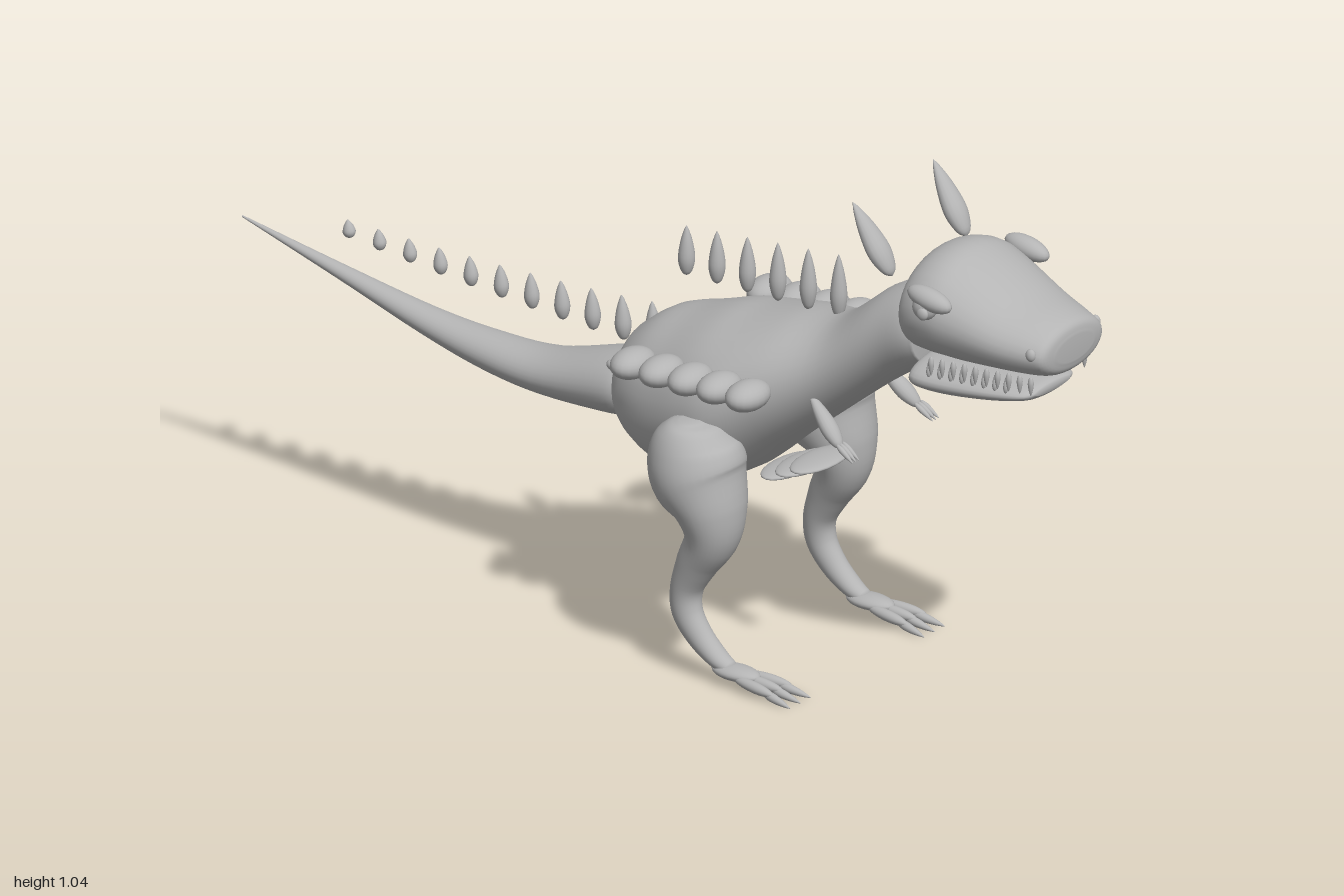
import * as THREE from 'three';

const V = (x, y, z) => new THREE.Vector3(x, y, z);

export function createModel() {
  const root = new THREE.Group();
  root.name = 'hornedReptile';
  const hide = new THREE.MeshStandardMaterial({ color: 0xb4b4b4 });
  hide.name = 'greyHide';

  const add = (name, geometry, parent = root) => {
    const mesh = new THREE.Mesh(geometry, hide);
    mesh.name = name;
    parent.add(mesh);
    return mesh;
  };

  // Smooth closed skin through elliptical sections [x, y, z, radiusX, radiusN].
  // Upright sections stay in the xy plane; the others follow the path.
  const loft = (rows, upright = true, steps = 5, sides = 32) => {
    const path = new THREE.CatmullRomCurve3(rows.map(r => V(r[0], r[1], r[2])), false, 'catmullrom', 0.5);
    const radii = new THREE.CatmullRomCurve3(rows.map(r => V(r[3], r[4], 0)), false, 'catmullrom', 0.5);
    const count = (rows.length - 1) * steps;
    const pos = [], index = [];
    for (let i = 0; i <= count; i++) {
      const c = path.getPoint(i / count), r = radii.getPoint(i / count);
      const t = path.getTangent(i / count);
      if (upright) t.set(0, 0, Math.sign(t.z));
      else t.setX(0).normalize();
      const n = t.clone().cross(V(1, 0, 0));
      for (let j = 0; j < sides; j++) {
        const a = (j / sides) * Math.PI * 2;
        const p = c.clone().addScaledVector(n, Math.sin(a) * r.y);
        pos.push(p.x + Math.cos(a) * r.x, p.y, p.z);
      }
      if (i === count) break;
      for (let j = 0; j < sides; j++) {
        const a = i * sides + j, b = i * sides + (j + 1) % sides;
        index.push(a, b, a + sides, b, b + sides, a + sides);
      }
    }
    // End caps
    const ends = [rows[0], rows[rows.length - 1]];
    ends.forEach((e, k) => {
      const centre = pos.length / 3, base = k * count * sides;
      pos.push(e[0], e[1], e[2]);
      for (let j = 0; j < sides; j++) {
        const a = base + j, b = base + (j + 1) % sides;
        if (k) index.push(centre, a, b);
        else index.push(centre, b, a);
      }
    });
    const g = new THREE.BufferGeometry();
    g.setAttribute('position', new THREE.Float32BufferAttribute(pos, 3));
    g.setIndex(index);
    g.computeVertexNormals();
    return g;
  };

  const ellipsoid = (name, c, rx, ry, rz, parent = root) => {
    const m = add(name, new THREE.SphereGeometry(1, 20, 14), parent);
    m.position.copy(c);
    m.scale.set(rx, ry, rz);
    return m;
  };

  // Pointed teardrop from a (blunt) to b (sharp), optionally squashed in depth
  const profile = new THREE.SplineCurve([[0, 0], [0.6, 0.08], [1, 0.33], [0.75, 0.65], [0.3, 0.9], [0, 1]]
    .map(p => new THREE.Vector2(...p))).getPoints(18).map(p => p.setX(Math.max(p.x, 0)));
  const dropGeometry = new THREE.LatheGeometry(profile, 16);
  const drop = (name, a, b, r, rz = r, parent = root) => {
    const m = add(name, dropGeometry, parent);
    const d = b.clone().sub(a);
    m.position.copy(a);
    m.scale.set(r, d.length(), rz);
    m.quaternion.setFromUnitVectors(V(0, 1, 0), d.normalize());
    return m;
  };

  // Torso and neck
  add('body', loft([
    [0, 0.5, -0.045, 0.05, 0.05], [0, 0.5, -0.038, 0.1, 0.09], [0, 0.5, -0.01, 0.14, 0.118],
    [0, 0.5, 0.04, 0.17, 0.15], [0, 0.502, 0.11, 0.195, 0.168], [0, 0.52, 0.19, 0.213, 0.174],
    [0, 0.54, 0.26, 0.214, 0.165], [0, 0.585, 0.345, 0.18, 0.137], [0, 0.64, 0.455, 0.125, 0.102],
    [0, 0.725, 0.565, 0.103, 0.1], [0, 0.765, 0.64, 0.1, 0.09], [0, 0.77, 0.67, 0.09, 0.078]]));

  // Tail
  add('tail', loft([
    [0, 0.47, -0.03, 0.06, 0.055], [0, 0.47, -0.05, 0.08, 0.068], [0, 0.463, -0.1, 0.086, 0.066],
    [0, 0.44, -0.26, 0.068, 0.046], [0, 0.446, -0.4, 0.052, 0.038], [0, 0.47, -0.55, 0.036, 0.028],
    [0, 0.52, -0.76, 0.018, 0.015], [0, 0.578, -1, 0.002, 0.002]]));

  // Head
  const head = new THREE.Group();
  head.name = 'head';
  root.add(head);
  add('skull', loft([
    [0, 0.83, 0.662, 0.1, 0.07], [0, 0.835, 0.672, 0.135, 0.097], [0, 0.843, 0.705, 0.153, 0.11],
    [0, 0.845, 0.75, 0.158, 0.112], [0, 0.835, 0.8, 0.151, 0.102], [0, 0.813, 0.89, 0.133, 0.075],
    [0, 0.803, 0.96, 0.113, 0.06], [0, 0.801, 0.99, 0.098, 0.047], [0, 0.8, 0.998, 0.06, 0.025]]), head);
  add('lowerJaw', loft([
    [0, 0.695, 0.665, 0.08, 0.02], [0, 0.695, 0.685, 0.115, 0.034], [0, 0.695, 0.75, 0.118, 0.036],
    [0, 0.699, 0.85, 0.105, 0.029], [0, 0.704, 0.925, 0.085, 0.018], [0, 0.706, 0.945, 0.055, 0.008]]), head);

  // Ridge of back spikes, then smaller ones along the tail
  for (let i = 0; i < 6; i++) {
    const z = 0.43 - i * 0.073;
    drop('backSpike', V(0, 0.72, z), V(0, 0.855 - i * 0.006, z), 0.017);
  }
  for (let i = 0; i < 11; i++) {
    const z = -0.012 - i * 0.073, low = 0.545 + 0.052 * (i / 10) ** 1.6;
    drop('tailSpike', V(0, low, z), V(0, low + 0.1 - i * 0.0063, z - 0.006), 0.017 - i * 0.0004);
  }

  // Belly slats
  for (let i = 0; i < 3; i++)
    ellipsoid('bellySlat', V(0, 0.412 - i * 0.015, 0.385 - i * 0.035), 0.084, 0.01, 0.04);

  // Paired parts
  for (const s of [1, -1]) {
    const side = s > 0 ? 'left' : 'right';

    // Horn, brow, eye and nostril
    drop(side + 'Horn', V(s * 0.122, 0.905, 0.648), V(s * 0.132, 1.042, 0.56), 0.028, 0.02, head);
    const brow = ellipsoid(side + 'Brow', V(s * 0.16, 0.898, 0.765), 0.024, 0.022, 0.052, head);
    brow.rotation.x = 0.2;
    ellipsoid(side + 'Eye', V(s * 0.162, 0.88, 0.755), 0.022, 0.026, 0.026, head);
    ellipsoid(side + 'Pupil', V(s * 0.18, 0.873, 0.762), 0.008, 0.013, 0.013, head);
    ellipsoid(side + 'Nostril', V(s * 0.106, 0.812, 0.968), 0.009, 0.013, 0.011, head);

    // Teeth along the mouth
    for (let i = 0; i < 10; i++) {
      const z = 0.955 - i * 0.024, x = s * (0.088 + i * 0.0035);
      drop('upperTooth', V(x, 0.757, z), V(x, 0.717, z), 0.006, 0.006, head);
      if (i > 1) drop('lowerTooth', V(x * 0.93, 0.708, z - 0.012), V(x * 0.93, 0.742, z - 0.012), 0.005, 0.005, head);
    }

    // Flank plates and two small bumps behind them
    for (let i = 0; i < 5; i++)
      ellipsoid(side + 'FlankPlate', V(s * 0.224, 0.621, 0.1 + i * 0.069), 0.055, 0.03, 0.039);
    for (const z of [0.018, 0.057])
      ellipsoid(side + 'FlankBump', V(s * 0.177, 0.573 + z * 0.4, z), 0.011, 0.011, 0.014);

    // Small arm with three claws
    drop(side + 'Arm', V(s * 0.13, 0.515, 0.53), V(s * 0.106, 0.605, 0.435), 0.02, 0.016);
    for (let k = -1; k <= 1; k++)
      drop(side + 'ArmClaw', V(s * (0.128 + k * 0.009), 0.525, 0.525), V(s * (0.131 + k * 0.01), 0.496, 0.568), 0.006);

    // Leg from hip to ankle
    add(side + 'Leg', loft([
      [s * 0.215, 0.535, 0.235, 0.03, 0.02], [s * 0.213, 0.52, 0.235, 0.065, 0.058],
      [s * 0.21, 0.475, 0.237, 0.091, 0.09], [s * 0.21, 0.42, 0.25, 0.1, 0.094],
      [s * 0.213, 0.36, 0.28, 0.082, 0.068], [s * 0.215, 0.3, 0.284, 0.061, 0.053],
      [s * 0.217, 0.24, 0.252, 0.046, 0.042], [s * 0.218, 0.18, 0.226, 0.036, 0.032],
      [s * 0.22, 0.13, 0.228, 0.03, 0.031], [s * 0.22, 0.085, 0.258, 0.026, 0.027],
      [s * 0.22, 0.05, 0.3, 0.024, 0.02], [s * 0.22, 0.033, 0.335, 0.018, 0.013]], false));

    // Foot with spread toes and claws
    ellipsoid(side + 'Foot', V(s * 0.22, 0.03, 0.345), 0.03, 0.015, 0.055);
    for (let k = -1; k <= 1; k++) {
      const x = s * (0.22 + k * 0.025);
      const toe = ellipsoid(side + 'Toe', V(x, 0.022, 0.405), 0.012, 0.011, 0.052);
      toe.rotation.set(0.08, s * k * 0.12, 0);
      drop(side + 'ToeClaw', V(x, 0.018, 0.425), V(x + s * k * 0.009, 0.003, 0.5), 0.009);
    }
  }
  return root;
}
